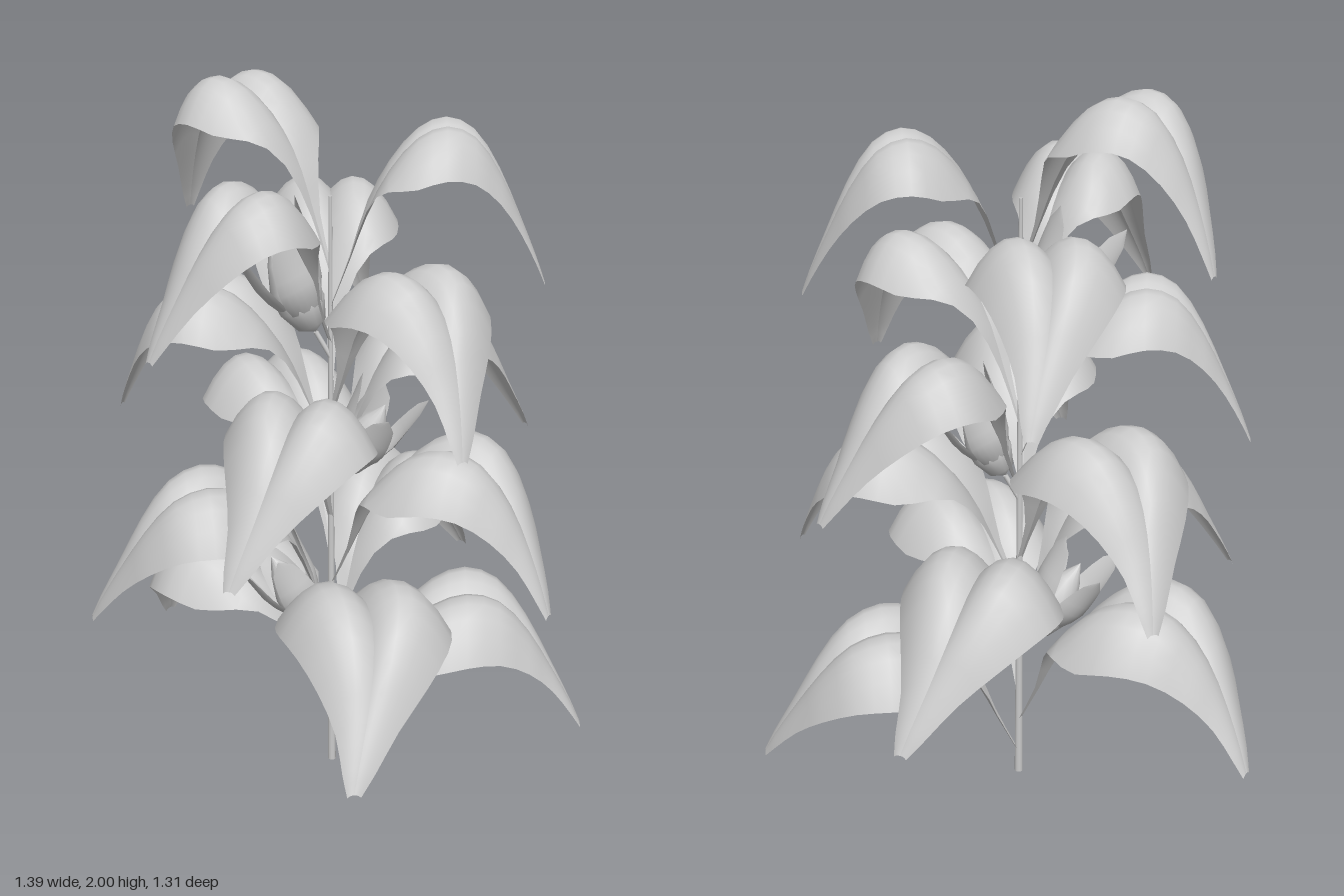
import * as THREE from 'three';
import { ParametricGeometry } from 'three/addons/geometries/ParametricGeometry.js';

const material = new THREE.MeshStandardMaterial({ color: 0xcccccc, side: THREE.DoubleSide });
const STEM = -0.04; // x and z of the stem
const { lerp, smoothstep, degToRad } = THREE.MathUtils;

// Midrib of a leaf: x = outward reach, y = height below the crest, z = half width
const midrib = new THREE.CatmullRomCurve3([
  [0, -0.49, 0.012], [0.09, -0.36, 0.03], [0.17, -0.24, 0.11], [0.27, -0.14, 0.235],
  [0.4, -0.065, 0.31], [0.53, -0.04, 0.322], [0.66, -0.065, 0.28], [0.78, -0.145, 0.2],
  [0.88, -0.25, 0.115], [0.96, -0.35, 0.06], [1, -0.41, 0.025],
].map((p) => new THREE.Vector3(...p)));

// One half of a blade: a V-shaped channel at the neck, a drooping lobe further out,
// flatter at the tip; the whole blade sways to one side and hooks back at the tip
function halfBlade(reach, side) {
  return new ParametricGeometry((u, v, target) => {
    const p = midrib.getPoint(v);
    const width = p.z * reach;
    const rise = lerp(1.15, 0.3, smoothstep(v, 0.6, 0.9));
    const lobe = rise * u - (rise + 0.42) * u * u;
    const lift = width * lerp(0.6 * u, lobe, smoothstep(v, 0.12, 0.42));
    const sway = -0.1 * reach * Math.sin(Math.PI * Math.max(p.x, 0) ** 1.7);
    target.set(p.x * reach, p.y + lift, side * u * width + sway);
  }, 6, 20);
}

function makeLeaf(reach) {
  const leaf = new THREE.Group();
  for (const side of [-1, 1]) {
    const half = new THREE.Mesh(halfBlade(reach, side), material);
    half.name = side < 0 ? 'leafHalfA' : 'leafHalfB';
    leaf.add(half);
  }
  return leaf;
}

// Pointed bud wrapped in a few lance-shaped sheaths, growing along +y
function makeBud() {
  const bud = new THREE.Group();
  const profile = [[0, 0], [0.035, 0.02], [0.056, 0.07], [0.054, 0.12], [0.03, 0.18], [0, 0.23]];
  const core = new THREE.Mesh(
    new THREE.LatheGeometry(profile.map((p) => new THREE.Vector2(...p)), 12), material);
  core.name = 'budCore';
  bud.add(core);
  const sheath = new ParametricGeometry((u, v, target) => {
    const angle = (u - 0.5) * 1.9 * Math.sqrt(Math.max(0, 1 - v));
    const radius = 0.075 * Math.sin(Math.PI * Math.min(v * 0.9, 0.5)) + 0.02 * v * v;
    target.set(radius * Math.cos(angle), 0.29 * v, radius * Math.sin(angle));
  }, 6, 8);
  for (let i = 0; i < 4; i++) {
    const petal = new THREE.Mesh(sheath, material);
    petal.name = 'budSheath';
    petal.rotation.y = (i * Math.PI) / 2 + 0.4;
    petal.scale.y = i % 2 ? 0.82 : 1;
    bud.add(petal);
  }
  return bud;
}

export function createModel() {
  const plant = new THREE.Group();
  plant.name = 'plant';

  const stem = new THREE.Mesh(new THREE.CylinderGeometry(0.005, 0.012, 1.71, 10), material);
  stem.name = 'stem';
  stem.position.set(STEM, 0.855, STEM);
  plant.add(stem);

  // Leaves spiral up the stem, getting a little shorter
  for (let i = 0; i < 15; i++) {
    const leaf = makeLeaf(0.73 - 0.0128 * i);
    leaf.name = 'leaf';
    leaf.position.set(STEM, 0.55 + 0.1036 * i, STEM);
    leaf.rotation.y = degToRad(2 + 138.45 * i);
    plant.add(leaf);
  }

  // Buds lean out of the leaf joints: height, heading, lean, size
  for (const [y, heading, lean, size] of [
    [0.42, 180, 0.55, 1.1], [0.91, -15, 0.5, 1.05], [1.31, 180, 0.45, 1.2],
  ]) {
    const bud = makeBud();
    bud.name = 'bud';
    bud.scale.setScalar(size);
    bud.rotation.set(0, degToRad(heading), -lean, 'YXZ');
    bud.position.set(STEM, y, STEM).add(
      new THREE.Vector3(0.04, 0.03, 0).applyAxisAngle(new THREE.Vector3(0, 1, 0), bud.rotation.y));
    plant.add(bud);

    const stalk = new THREE.Mesh(new THREE.TubeGeometry(new THREE.LineCurve3(
      new THREE.Vector3(STEM, y - 0.04, STEM), bud.position.clone()), 1, 0.007, 8), material);
    stalk.name = 'budStalk';
    plant.add(stalk);
  }
  return plant;
}
